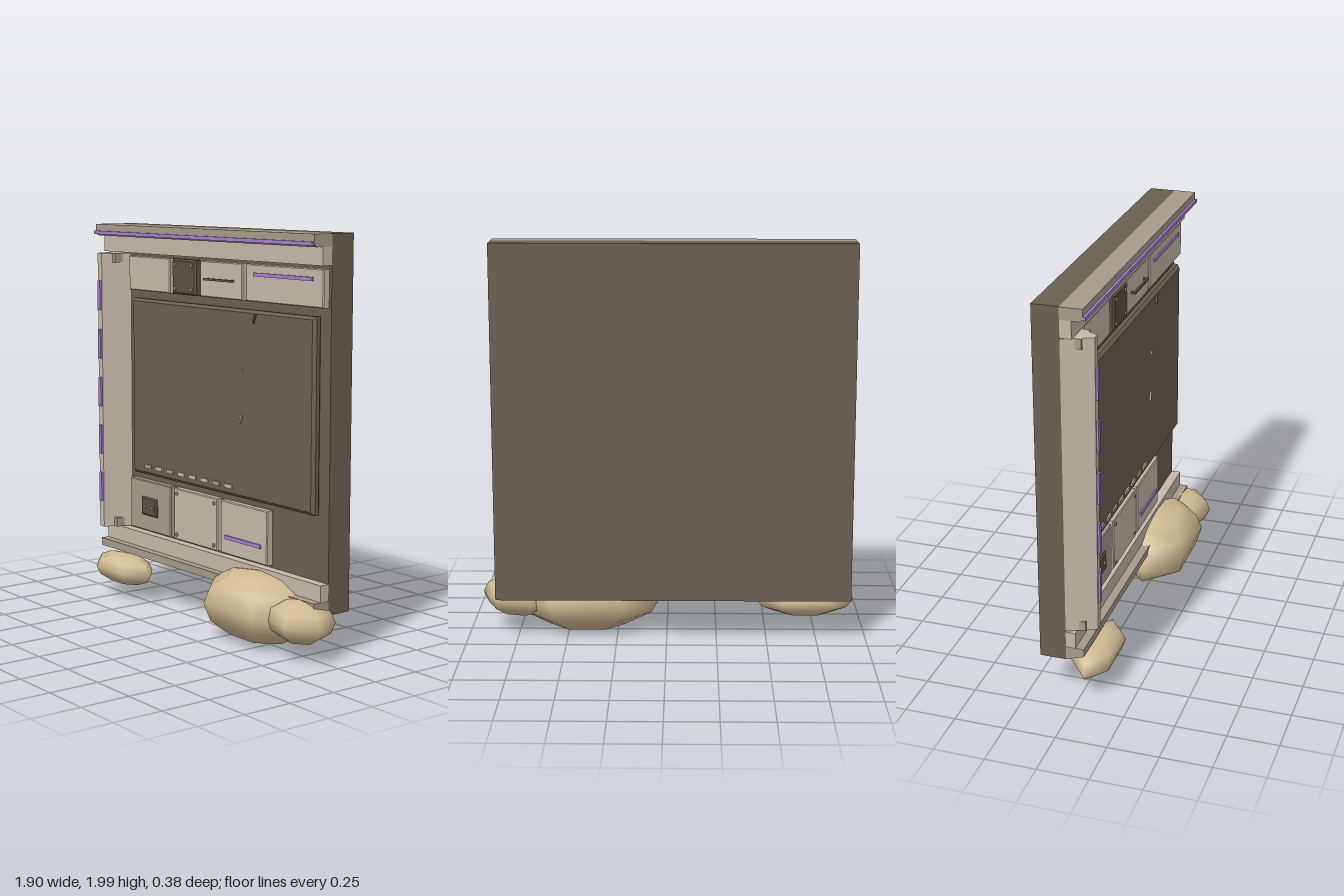
import * as THREE from 'three';

const mat = (name, color, side = THREE.FrontSide) => {
  const m = new THREE.MeshStandardMaterial({ color, side });
  m.name = name;
  return m;
};

export function createModel() {
  const model = new THREE.Group();
  const wallMat = mat('dark brown', 0x6a6053);
  const darkMat = mat('darker brown', 0x5b5146);
  const lightMat = mat('light panel', 0xc4baaa);
  const midMat = mat('mid panel', 0xa69c8c);
  const glowMat = mat('purple light', 0xa780d2);
  const sandMat = mat('sand', 0xcfbb93);

  const add = (name, geo, material) => {
    const mesh = new THREE.Mesh(geo, material);
    mesh.name = name;
    model.add(mesh);
    return mesh;
  };
  // box given by its limits on each axis
  const box = (name, material, x0, x1, y0, y1, z0, z1) => {
    const m = add(name, new THREE.BoxGeometry(x1 - x0, y1 - y0, z1 - z0), material);
    m.position.set((x0 + x1) / 2, (y0 + y1) / 2, (z0 + z1) / 2);
    return m;
  };
  // plate with chamfered front edges
  const plate = (name, material, x0, x1, y0, y1, z0, z1, b) => {
    const w = (x1 - x0) / 2 - b, h = (y1 - y0) / 2 - b;
    const s = new THREE.Shape([[-w, -h], [w, -h], [w, h], [-w, h]].map(p => new THREE.Vector2(...p)));
    const geo = new THREE.ExtrudeGeometry(s, {
      depth: z1 - z0 - 2 * b, bevelEnabled: true, bevelSize: b, bevelThickness: b, bevelSegments: 1,
    });
    const m = add(name, geo, material);
    m.position.set((x0 + x1) / 2, (y0 + y1) / 2, z0 + b);
    return m;
  };
  const bolt = (name, material, x, y, z, r = 0.01) => {
    const m = add(name, new THREE.CylinderGeometry(r, r, 0.008, 8).rotateX(Math.PI / 2), material);
    m.position.set(x, y, z + 0.002);
  };
  const corners = (x0, x1, y0, y1, inset, fn) => {
    for (const x of [x0 + inset, x1 - inset]) for (const y of [y0 + inset, y1 - inset]) fn(x, y);
  };
  // rail running along x, from a (z, y) profile
  const rail = (name, material, pts) => {
    const s = new THREE.Shape(pts.map(([z, y]) => new THREE.Vector2(-z, y)));
    const geo = new THREE.ExtrudeGeometry(s, { depth: 1.78, bevelEnabled: false });
    geo.rotateY(Math.PI / 2);
    add(name, geo, material).position.x = -0.922;
  };

  // wall slab
  const L = -0.92, R = 0.856, F = -0.06;
  box('wall', wallMat, L, R, 0.22, 2, -0.19, F);

  // top and bottom rails
  rail('topCap', midMat, [[F, 2], [F, 1.94], [0.035, 1.94], [0.048, 1.955], [0.048, 2]]);
  box('topLightStrip', glowMat, L, R, 1.947, 1.965, 0.045, 0.06);
  box('topRail', lightMat, L, R, 1.855, 1.94, F, -0.005);
  box('bottomRail', lightMat, L, R, 0.29, 0.37, F, -0.012);
  rail('bottomLedge', midMat, [[F, 0.29], [F, 0.222], [0.03, 0.25], [0.03, 0.29]]);

  // tapered side column
  const col = new THREE.Shape([[-0.92, F], [-0.75, F], [-0.82, 0.08], [-0.858, 0.08]]
    .map(([x, z]) => new THREE.Vector2(x, -z)));
  const colGeo = new THREE.ExtrudeGeometry(col, { depth: 1.475, bevelEnabled: false });
  colGeo.rotateX(-Math.PI / 2);
  add('column', colGeo, lightMat).position.y = 0.375;
  for (let i = 0; i < 5; i++) {
    const y = 0.595 + i * 0.258;
    box('columnLight', glowMat, -0.848, -0.826, y - 0.078, y + 0.078, 0.075, 0.09);
  }
  for (const y of [0.4, 1.825]) for (const x of [-0.882, -0.782])
    box('columnClamp', midMat, x - 0.012, x + 0.012, y - 0.024, y + 0.024, F, 0.03);

  // upper panels
  const zp = -0.02;
  plate('upperPanel', lightMat, -0.71, -0.345, 1.66, 1.84, F, zp, 0.005);
  plate('darkPlate', darkMat, -0.315, -0.115, 1.66, 1.84, F, -0.01, 0.01);
  corners(-0.315, -0.115, 1.66, 1.84, 0.03, (x, y) => bolt('plateBolt', midMat, x, y, -0.01));
  plate('drawerPanel', lightMat, -0.09, 0.25, 1.66, 1.84, F, zp, 0.005);
  box('drawerHandle', darkMat, -0.03, 0.19, 1.745, 1.756, -0.008, 0.004);
  for (const x of [-0.02, 0.18]) box('handlePost', darkMat, x - 0.006, x + 0.006, 1.745, 1.756, zp, -0.008);
  plate('widePanel', lightMat, 0.28, 0.845, 1.66, 1.84, F, zp, 0.005);
  box('panelLight', glowMat, 0.345, 0.775, 1.782, 1.8, zp - 0.001, zp + 0.008);

  // lower panels
  plate('socketPanel', midMat, -0.71, -0.345, 0.385, 0.655, F, zp, 0.005);
  plate('socketBox', darkMat, -0.595, -0.46, 0.47, 0.567, -0.035, -0.008, 0.008);
  for (const x of [-0.56, -0.495]) bolt('socketPin', midMat, x, 0.518, -0.008);
  plate('boltedPanel', lightMat, -0.315, 0.055, 0.385, 0.655, F, zp, 0.005);
  corners(-0.315, 0.055, 0.385, 0.655, 0.027, (x, y) => bolt('panelBolt', midMat, x, y, zp));
  plate('lowerPanel', lightMat, 0.08, 0.45, 0.385, 0.655, F, zp, 0.005);
  box('lowerPanelLight', glowMat, 0.125, 0.405, 0.463, 0.482, zp - 0.001, zp + 0.008);

  // big screen with its row of keys
  plate('screen', wallMat, -0.672, 0.797, 0.69, 1.62, F, -0.01, 0.015);
  [midMat, lightMat, midMat, lightMat, lightMat, lightMat, midMat, sandMat].forEach((m, i) => {
    const x = -0.525 + i * 0.098;
    box('key', m, x - 0.029, x + 0.029, 0.728, 0.748, -0.012, -0.002);
  });

  // cracks and chips on the screen
  for (const [x, y, w, h, m, tilt] of [
    [0.362, 1.582, 0.01, 0.045, darkMat, -0.35],
    [0.27, 1.327, 0.008, 0.018, lightMat, -0.1],
    [0.262, 1.088, 0.01, 0.05, sandMat, -0.35],
  ]) {
    const chip = box('screenChip', m, x - w / 2, x + w / 2, y - h / 2, y + h / 2, -0.012, -0.002);
    chip.rotation.z = tilt;
  }

  // sand mounds at the foot
  for (const [x, y, z, sx, sy, sz, turn] of [
    [-0.703, 0.162, 0.03, 0.248, 0.083, 0.112, 0],
    [0.405, 0.185, 0.006, 0.375, 0.176, 0.212, 0],
    [0.752, 0.186, 0.02, 0.2, 0.105, 0.155, -0.25],
  ]) {
    const mound = add('sandMound', new THREE.SphereGeometry(1, 6, 6), sandMat);
    mound.position.set(x, y, z);
    mound.scale.set(sx, sy, sz);
    mound.rotation.y = turn;
  }
  return model;
}
